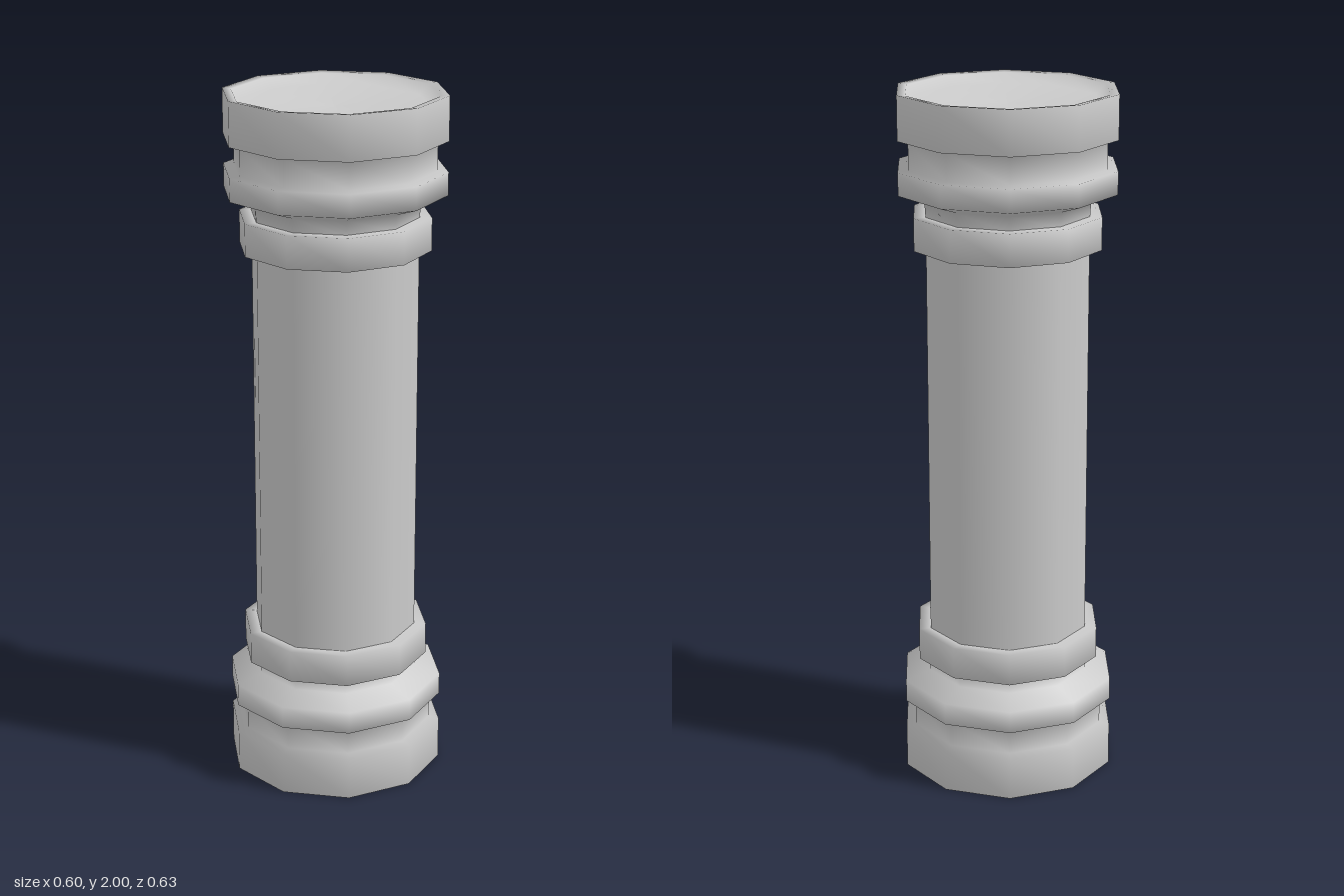
import * as THREE from 'three';

const SIDES = 10;
const HEIGHT = 2;

// Ten-sided smooth lathe; points run upward along the outside
function turned(name, points, material) {
  const profile = points.map(([r, y]) => new THREE.Vector2(r, y));
  const mesh = new THREE.Mesh(new THREE.LatheGeometry(profile, SIDES), material);
  mesh.name = name;
  return mesh;
}

// Moulded end of the column, standing on y = 0
function createEnd(name, material) {
  const end = new THREE.Group();
  end.name = name;

  // Foot with a recessed underside and a rounded rim
  end.add(turned('footAndCollar', [
    [0, 0.04], [0.26, 0.03], [0.29, 0.003], [0.315, 0],
    [0.315, 0.125], [0.285, 0.13],
    [0.285, 0.207], [0.315, 0.21],
    [0.315, 0.275], [0.24, 0.3], [0.237, 0.345],
  ], material));

  // Narrow band above the collar
  end.add(turned('band', [
    [0.235, 0.34], [0.272, 0.34], [0.272, 0.433], [0.235, 0.433],
  ], material));
  return end;
}

export function createModel() {
  const model = new THREE.Group();
  model.name = 'column';
  const material = new THREE.MeshStandardMaterial({ color: 0xcccccc });

  // Plain shaft between the two bands
  model.add(turned('shaft', [[0.237, 0.42], [0.237, HEIGHT - 0.42]], material));

  // Base, and the same moulding turned over for the capital
  model.add(createEnd('base', material));
  const capital = createEnd('capital', material);
  capital.rotation.z = Math.PI;
  capital.position.y = HEIGHT;
  model.add(capital);

  return model;
}
